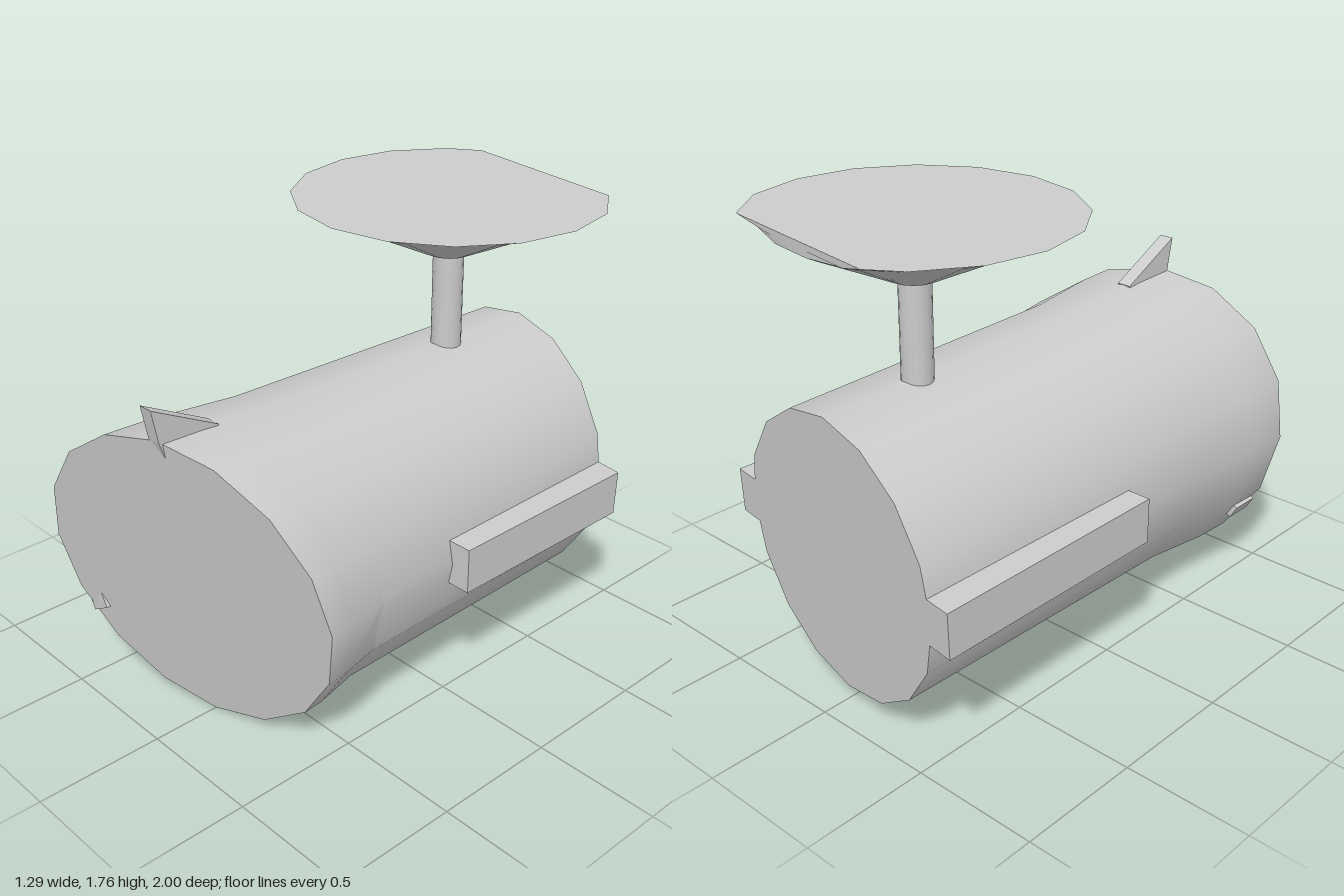
import * as THREE from 'three';
import { toCreasedNormals } from 'three/addons/utils/BufferGeometryUtils.js';

const CY = 0.605; // height of the barrel axis
const CREASE = 0.42;

// Slanted planes that trim the two ends of the model
const frontZ = (x, y) => 0.82 - 0.25 * x + 0.157 * (y - CY);
const backZ = (x, y) => -0.905 + 0.137 * x - 0.045 * (y - CY);

// Move every vertex of a geometry by a rule, then rebuild its normals
function reshape(geometry, rule) {
  const p = geometry.attributes.position;
  const v = new THREE.Vector3();
  for (let i = 0; i < p.count; i++) {
    v.fromBufferAttribute(p, i);
    rule(v);
    p.setXYZ(i, v.x, v.y, v.z);
  }
  return toCreasedNormals(geometry, CREASE);
}

const lathe = (points) =>
  new THREE.LatheGeometry(points.map(([r, y]) => new THREE.Vector2(r, y)), 16);

export function createModel() {
  const model = new THREE.Group();
  model.name = 'barrelWithDish';
  const grey = new THREE.MeshStandardMaterial({ color: 0xcccccc });
  grey.name = 'light grey';

  const add = (name, geometry) => {
    const mesh = new THREE.Mesh(geometry, grey);
    mesh.name = name;
    model.add(mesh);
    return mesh;
  };

  // Barrel: rings along z, flared at the front, both ends cut at a slant
  const barrel = lathe([[0, -1], [0.552, -1], [0.57, 0.4], [0.6, 0.7], [0.605, 1], [0, 1]]);
  barrel.rotateX(Math.PI / 2);
  barrel.translate(0, CY, 0);
  add('barrel', reshape(barrel, (v) => {
    const front = frontZ(v.x, v.y);
    if (v.z < -0.9) v.z = backZ(v.x, v.y);
    else if (v.z > 0.9) v.z = front;
    else if (v.z > 0.6) v.z = 0.4 + 0.65 * (front - 0.4);
  }));

  // Side rails, trimmed by the back plane
  for (const [name, side] of [['leftRail', 1], ['rightRail', -1]]) {
    const rail = new THREE.BoxGeometry(0.145, 0.18, 1.04);
    rail.translate(side * 0.5705, 0.61, -0.48);
    add(name, reshape(rail, (v) => {
      if (v.z < 0) v.z = backZ(v.x, v.y);
    }));
  }

  // Sight fin on top of the front rim
  const finShape = new THREE.Shape([
    [0.945, 1.34], [0.67, 1.2], [0.68, 1.15], [0.9, 1.15], [0.92, 1.21],
  ].map(([z, y]) => new THREE.Vector2(z, y)));
  const fin = new THREE.ExtrudeGeometry(finShape, { depth: 0.06, bevelEnabled: false });
  fin.rotateY(-Math.PI / 2);
  fin.translate(0.03, 0, 0);
  add('topFin', fin);

  // Small stub low on the right of the front rim
  const stub = new THREE.BoxGeometry(0.1, 0.06, 0.12);
  stub.translate(0.56, 0, 0.84);
  stub.rotateZ(Math.PI * 7 / 6);
  stub.translate(0, CY, 0);
  add('lowerStub', stub);

  // Post that carries the dish
  const post = new THREE.CylinderGeometry(0.06, 0.06, 0.43, 16);
  post.translate(0, 1.335, -0.49);
  add('post', post);

  // Solid dish with its rear edge trimmed by the back plane
  const dish = lathe([
    [0, 1.535], [0.09, 1.535], [0.42, 1.695], [0.48, 1.718],
    [0.54, 1.741], [0.605, 1.765], [0, 1.765],
  ]);
  dish.translate(0, 0, -0.49);
  add('dish', reshape(dish, (v) => {
    if (v.z >= backZ(v.x, v.y)) return;
    if (v.y > 1.76 && v.x < -0.1 && v.x > -0.3) v.x *= 1.33; // corner of the cut
    v.z = backZ(v.x, v.y);
  }));

  return model;
}
